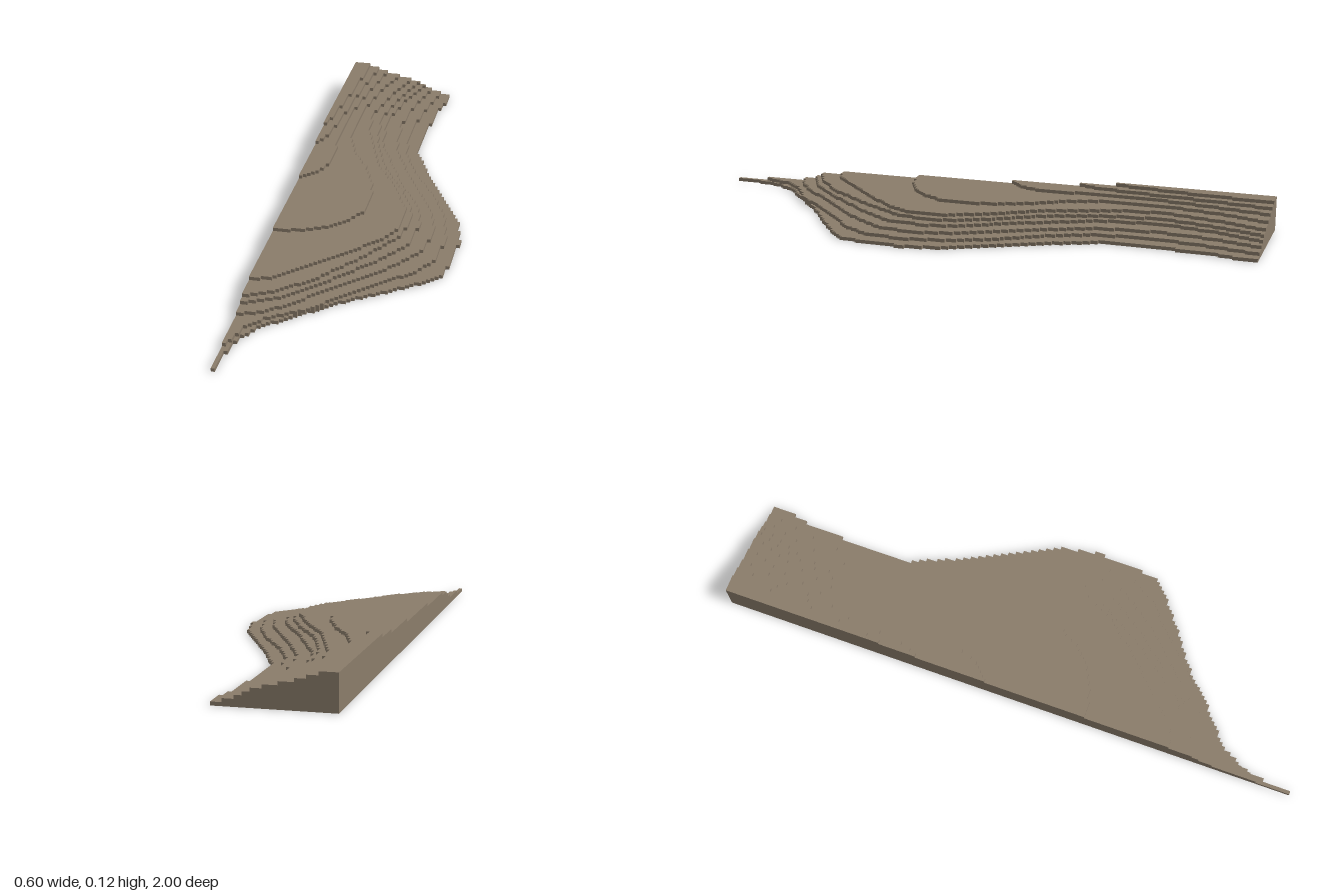
import * as THREE from 'three';

const CELL = 2 / 170; // square cell, also the height of one terrace
const LEFT = -0.3;

// Terrace outlines from bottom to top: [z, right edge x] along the slope
const outlines = {
  terrace1: [[-1, 0.076], [-0.91, 0.07], [-0.88, 0.06], [-0.7, 0.045], [-0.48, 0.045], [-0.4, 0.078], [-0.3, 0.12],
    [-0.1, 0.22], [0, 0.27], [0.1, 0.29], [0.14, 0.298], [0.17, 0.29], [0.34, 0.28], [0.38, 0.25], [0.44, 0.17],
    [0.56, 0], [0.68, -0.14], [0.75, -0.22], [0.83, -0.268], [0.91, -0.283], [1, -0.288]],
  terrace2: [[-1, 0.045], [-0.85, 0.015], [-0.65, -0.01], [-0.45, 0.005], [-0.3, 0.07], [-0.15, 0.16], [0, 0.225],
    [0.13, 0.25], [0.27, 0.243], [0.36, 0.19], [0.48, 0.06], [0.65, -0.1], [0.72, -0.21], [0.78, -0.26], [0.88, -0.288]],
  terrace3: [[-1, 0.01], [-0.85, -0.03], [-0.65, -0.05], [-0.45, -0.03], [-0.3, 0.035], [-0.15, 0.11], [0, 0.18],
    [0.11, 0.205], [0.24, 0.196], [0.4, 0.085], [0.53, -0.05], [0.65, -0.155], [0.71, -0.235], [0.73, -0.29]],
  terrace4: [[-1, -0.02], [-0.85, -0.07], [-0.65, -0.105], [-0.45, -0.08], [-0.2, 0.03], [0, 0.135],
    [0.1, 0.157], [0.24, 0.14], [0.36, 0.06], [0.52, -0.075], [0.63, -0.18], [0.68, -0.29]],
  terrace5: [[-1, -0.045], [-0.85, -0.09], [-0.65, -0.125], [-0.45, -0.1], [-0.25, -0.03], [-0.1, 0.06], [0, 0.105],
    [0.07, 0.123], [0.2, 0.115], [0.37, 0.01], [0.52, -0.1], [0.62, -0.205], [0.66, -0.29]],
  terrace6: [[-1, -0.07], [-0.85, -0.12], [-0.65, -0.16], [-0.5, -0.14], [-0.25, -0.055], [-0.1, 0.035],
    [0.05, 0.098], [0.18, 0.098], [0.24, 0.07], [0.35, -0.02], [0.48, -0.15], [0.56, -0.235], [0.58, -0.29]],
  terrace7: [[-1, -0.12], [-0.85, -0.165], [-0.65, -0.197], [-0.42, -0.19], [-0.3, -0.15], [-0.2, -0.09], [-0.08, -0.042],
    [0, -0.03], [0.11, -0.032], [0.18, -0.075], [0.24, -0.14], [0.27, -0.21], [0.285, -0.29]],
  terrace8: [[-1, -0.17], [-0.8, -0.205], [-0.6, -0.23], [-0.4, -0.235], [-0.3, -0.22], [-0.18, -0.222], [-0.11, -0.25],
    [-0.07, -0.29]],
  terrace9: [[-1, -0.205], [-0.8, -0.23], [-0.6, -0.245], [-0.4, -0.265], [-0.32, -0.288]],
  terrace10: [[-1, -0.24], [-0.8, -0.25], [-0.65, -0.265], [-0.45, -0.288]],
};

// Right edge at z, between the listed points
function edgeAt(points, z) {
  for (let i = 1; i < points.length; i++) {
    const [z0, x0] = points[i - 1];
    const [z1, x1] = points[i];
    if (z <= z1) return THREE.MathUtils.lerp(x0, x1, (z - z0) / (z1 - z0));
  }
  return points[points.length - 1][1];
}

// One slab whose curved edge is stepped along the cell grid
function terraceGeometry(points) {
  const rows = Math.round((points[points.length - 1][0] + 1) / CELL);
  const shape = new THREE.Shape();
  shape.moveTo(LEFT, 1);
  let lastX = null;
  for (let row = 0; row < rows; row++) {
    const z = -1 + row * CELL;
    const cells = Math.max(1, Math.round((edgeAt(points, z + CELL / 2) - LEFT) / CELL));
    const x = LEFT + cells * CELL;
    if (x !== lastX) {
      if (lastX !== null) shape.lineTo(lastX, -z);
      shape.lineTo(x, -z);
    }
    lastX = x;
  }
  const end = -1 + rows * CELL;
  shape.lineTo(lastX, -end);
  shape.lineTo(LEFT, -end);
  shape.closePath();
  const geometry = new THREE.ExtrudeGeometry(shape, { depth: CELL, bevelEnabled: false });
  return geometry.rotateX(-Math.PI / 2);
}

export function createModel() {
  const model = new THREE.Group();
  model.name = 'terracedHillside';
  const earth = new THREE.MeshStandardMaterial({ color: 0x8b7d6b });
  earth.name = 'earth brown';

  // Stack the terraces from the ground up
  Object.entries(outlines).forEach(([name, points], level) => {
    const terrace = new THREE.Mesh(terraceGeometry(points), earth);
    terrace.name = name;
    terrace.position.y = level * CELL;
    model.add(terrace);
  });
  return model;
}
